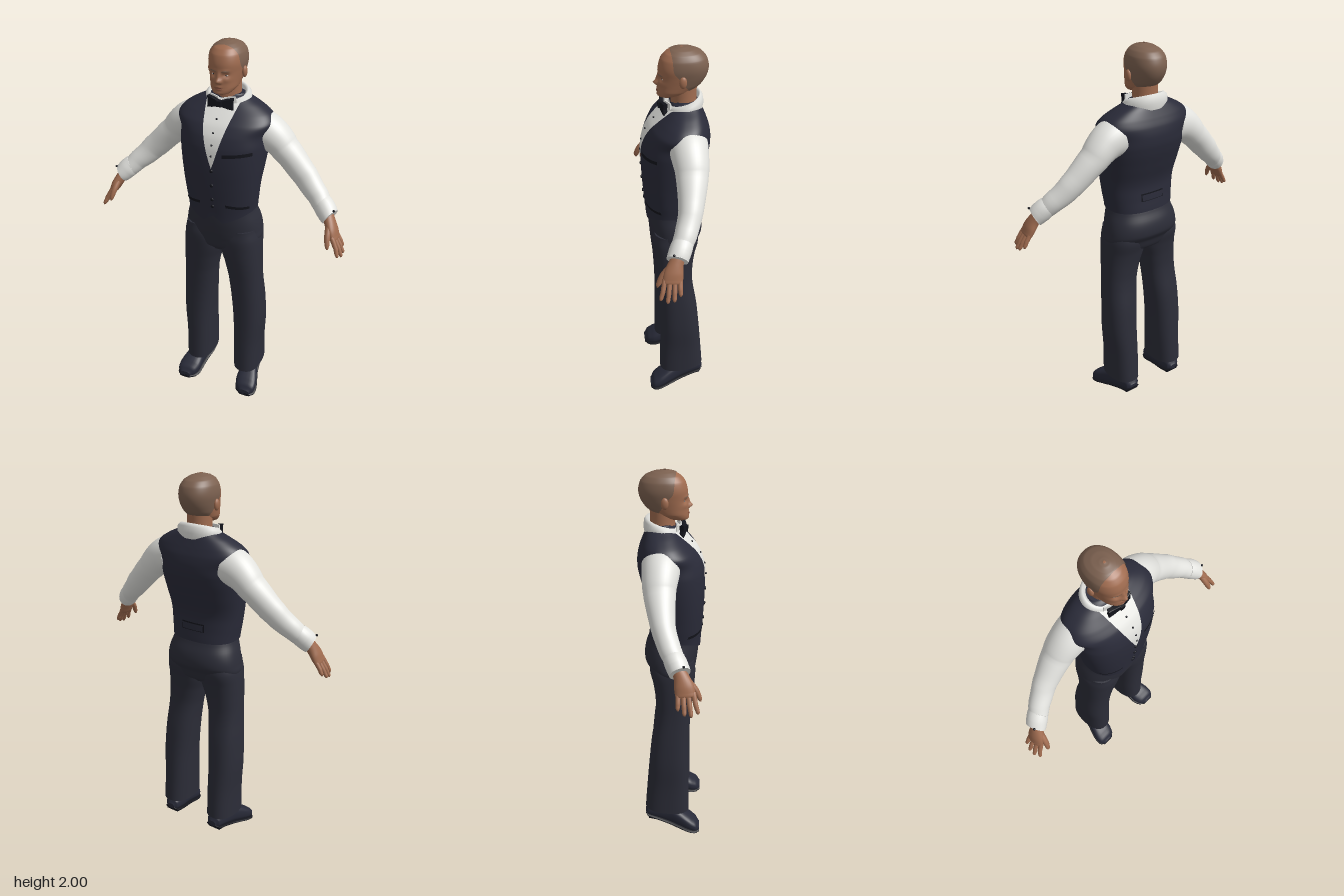
import * as THREE from 'three';

const paint = (name, color, side = THREE.FrontSide) => {
  const m = new THREE.MeshStandardMaterial({ color, side });
  m.name = name;
  return m;
};
const lerp = THREE.MathUtils.lerp;
const clamp = THREE.MathUtils.clamp;

// Interpolate a table of cross-sections; column 0 is the rising key.
function blend(rows, i, t) {
  const r = j => rows[clamp(j, 0, rows.length - 1)];
  return rows[i].map((p, c) => {
    const q = r(i + 1)[c];
    if (c === 0) return lerp(p, q, t);
    const m0 = (q - r(i - 1)[c]) / 2, m1 = (r(i + 2)[c] - p) / 2, t2 = t * t, t3 = t2 * t;
    return (2 * t3 - 3 * t2 + 1) * p + (t3 - 2 * t2 + t) * m0 + (3 * t2 - 2 * t3) * q + (t3 - t2) * m1;
  });
}
function at(rows, key) {
  let i = 0;
  while (i < rows.length - 2 && rows[i + 1][0] < key) i++;
  return blend(rows, i, clamp((key - rows[i][0]) / (rows[i + 1][0] - rows[i][0]), 0, 1));
}
function dense(rows, k = 6) {
  const out = [];
  for (let i = 0; i < rows.length - 1; i++) for (let j = 0; j < k; j++) out.push(blend(rows, i, j / k));
  return [...out, rows[rows.length - 1]];
}

// Skin a list of rings (arrays of Vector3), closed around and optionally capped.
function skin(rings, { closed = true, caps = true } = {}) {
  const pos = [], idx = [], n = rings[0].length;
  const add = p => pos.push(p.x, p.y, p.z) / 3 - 1;
  rings.forEach(r => r.forEach(add));
  for (let i = 0; i < rings.length - 1; i++)
    for (let j = 0; j < (closed ? n : n - 1); j++) {
      const a = i * n + j, b = i * n + (j + 1) % n;
      idx.push(a, a + n, b, b, a + n, b + n);
    }
  if (caps) [rings[0], rings[rings.length - 1]].forEach((r, end) => {
    const mid = r.reduce((s, p) => s.add(p), new THREE.Vector3()).divideScalar(n);
    const c = add(mid), f = c + 1;
    r.forEach(add);
    for (let j = 0; j < n; j++) {
      const k = (j + 1) % n;
      idx.push(c, f + (end ? k : j), f + (end ? j : k));
    }
  });
  const g = new THREE.BufferGeometry();
  g.setAttribute('position', new THREE.Float32BufferAttribute(pos, 3));
  g.setIndex(idx);
  g.computeVertexNormals();
  return g;
}
const power = (v, e) => Math.sign(v) * Math.abs(v) ** e;
const ring = (seg, fn, n = 2) => Array.from({ length: seg }, (_, j) => {
  const t = j / seg * Math.PI * 2;
  return fn(power(Math.cos(t), 2 / n), power(Math.sin(t), 2 / n));
});

// Upright body: rows are [y, halfWidth, zFront, zBack, centreX].
function upright(rows, n, rule = p => p, seg = 56) {
  return skin(dense(rows).map(([y, rx, zf, zb, cx = 0]) => ring(seg, (c, s) =>
    rule(new THREE.Vector3(cx + rx * c, y, (zf + zb) / 2 + (zf - zb) / 2 * s), s), n)));
}
// Depth of such a body at (x, y), on its front (1) or back (-1).
const depth = (rows, n, side = 1) => (x, y) => {
  const [, rx, zf, zb] = at(rows, y);
  return (zf + zb) / 2 + side * (zf - zb) / 2 * Math.max(0, 1 - Math.abs(x / rx) ** n) ** (1 / n);
};
// Limb: rows are [x, y, z, radius, radiusTowardsFront], s mirrors it.
function limb(rows, s, k = 6, seg = 24) {
  const d = dense(rows, k), p = d.map(r => new THREE.Vector3(r[0] * s, r[1], r[2]));
  return skin(d.map((r, i) => {
    const T = p[Math.min(i + 1, p.length - 1)].clone().sub(p[Math.max(i - 1, 0)]).normalize();
    const v = new THREE.Vector3(0, 0, 1).addScaledVector(T, -T.z).normalize();
    const u = T.clone().cross(v);
    return ring(seg, (c, q) => p[i].clone().addScaledVector(u, c * r[3]).addScaledVector(v, q * r[4]));
  }));
}
// Thin patch laid on a surface; edge(v) gives [x0, x1], level(u, v) gives y.
function patch(z, edge, level, off = 0.005, nu = 14, nv = 10) {
  const rows = [];
  for (let j = 0; j <= nv; j++) rows.push(Array.from({ length: nu + 1 }, (_, i) => {
    const [a, b] = edge(j / nv), x = lerp(b, a, i / nu), y = level(i / nu, j / nv);
    return new THREE.Vector3(x, y, z(x, y) + off);
  }));
  return skin(rows, { closed: false, caps: false });
}

const VEST = [[1.17, .18, .153, -.114], [1.24, .189, .16, -.107], [1.32, .199, .165, -.106], [1.42, .213, .168, -.135],
  [1.52, .224, .163, -.163], [1.58, .226, .147, -.168], [1.63, .248, .118, -.16], [1.67, .225, .08, -.145],
  [1.705, .17, .045, -.13], [1.74, .1, .015, -.115], [1.75, .08, 0, -.1]];
const HEAD = [[1.765, .022, .066, .02], [1.772, .042, .078, -.01], [1.785, .056, .082, -.055], [1.8, .066, .081, -.085],
  [1.83, .073, .08, -.122], [1.87, .081, .077, -.147], [1.91, .086, .077, -.155], [1.95, .08, .066, -.145],
  [1.975, .064, .045, -.122], [1.99, .042, .018, -.088], [1.998, .018, -.012, -.05], [2, .003, -.028, -.034]];
const PELVIS = [[.915, .1, .09, -.05], [.95, .18, .12, -.095], [1, .208, .13, -.115], [1.04, .206, .136, -.138],
  [1.1, .195, .142, -.134], [1.17, .174, .145, -.108], [1.2, .172, .145, -.1]];
// y, outer x, inner x, front z, back z
const LEG = [[.13, .226, .072, .104, -.14], [.3, .226, .068, .1, -.128], [.45, .234, .065, .098, -.115], [.6, .23, .055, .1, -.1],
  [.75, .22, .04, .108, -.078], [.85, .216, .018, .118, -.08], [.93, .213, -.005, .125, -.092], [1, .208, 0, .128, -.108], [1.06, .195, .03, .12, -.1]]
  .map(([y, o, i, f, b]) => [y, (o - i) / 2, f, b, (o + i) / 2]);
const SLEEVE = [[.17, 1.585, -.04, .1, .095], [.235, 1.56, -.042, .087, .088], [.3, 1.5, -.042, .071, .077],
  [.42, 1.385, -.02, .063, .058], [.5, 1.31, .015, .053, .052], [.555, 1.258, .05, .045, .045]];
// z, centre x, half width, bottom, top
const SHOE = [[-.14, .145, .022, .085, .115], [-.125, .146, .04, .074, .14], [-.06, .15, .046, .057, .15], [0, .16, .047, .04, .15],
  [.06, .172, .055, .025, .122], [.11, .18, .061, .013, .092], [.145, .187, .052, .007, .066], [.165, .19, .03, .006, .04]];

// Face relief: x, y, width, height, amount
const RELIEF = [[0, 1.836, .011, .011, .02], [0, 1.858, .009, .018, .01], [.011, 1.832, .007, .007, .008], [.031, 1.862, .014, .009, -.009],
  [.03, 1.881, .02, .007, .004], [.042, 1.84, .016, .012, .004], [0, 1.807, .018, .005, .005], [0, 1.796, .016, .005, .005], [0, 1.775, .02, .009, .004]];
const relief = (x, y) => RELIEF.reduce((sum, [a, b, w, h, k]) =>
  sum + k * Math.exp(-(((Math.abs(x) - a) / w) ** 2) - ((y - b) / h) ** 2), 0);

export function createModel() {
  const model = new THREE.Group();
  model.name = 'waiter';
  const vest = paint('vest navy', 0x2a2b39, THREE.DoubleSide), trouser = paint('trouser navy', 0x2c2d38);
  const shoe = paint('shoe navy', 0x282a38), black = paint('black trim', 0x14151c);
  const white = paint('shirt white', 0xe2e2de, THREE.DoubleSide), skinTone = paint('skin', 0xa06c50);
  const hair = paint('cropped hair', 0x7c6150, THREE.DoubleSide), lip = paint('lips', 0x83503f), eye = paint('eye white', 0xc9bdb2);
  const add = (name, geometry, material, x = 0, y = 0, z = 0) => {
    const m = new THREE.Mesh(geometry, material);
    m.name = name;
    m.position.set(x, y, z);
    model.add(m);
    return m;
  };
  const ball = (name, mat, r, x, y, z, sx = 1, sy = 1, sz = 1) =>
    add(name, new THREE.SphereGeometry(r, 16, 12), mat, x, y, z).scale.set(sx, sy, sz);

  // Vest with two points at the front hem
  add('vest', upright(VEST, 2.4, (p, s) => {
    const x = Math.abs(p.x), point = x < .055 ? .3 + .7 * x / .055 : Math.max(0, 1 - (x - .055) / .12);
    p.y -= .055 * point * clamp(s * 1.5, 0, 1) * clamp((1.24 - p.y) / .07, 0, 1);
    return p;
  }, 80), vest);
  const chest = depth(VEST, 2.4), back = depth(VEST, 2.4, -1);

  // Shirt front, studs, vest buttons and pockets
  add('shirtFront', patch(chest, v => [-.09 * v ** .9, .09 * v ** .9], (u, v) => lerp(1.425, 1.735, v), .005, 16, 24), white);
  [1.655, 1.6, 1.545, 1.49].forEach(y => ball('shirtStud', black, .005, 0, y, chest(0, y) + .006));
  [1.41, 1.33, 1.25, 1.21].forEach(y => ball('vestButton', black, .009, 0, y, chest(0, y) + .002, 1, 1, .6));
  const welt = (name, a, b, ya, yb, h) =>
    add(name, patch(chest, () => [a, b], (u, v) => lerp(yb, ya, u) + h * (v - .5)), black);
  welt('breastPocket', .055, .19, 1.495, 1.51, .017);
  welt('leftPocket', .07, .172, 1.222, 1.208, .016);
  welt('rightPocket', -.172, -.07, 1.208, 1.222, .016);
  add('backStrapEdge', patch(back, () => [.068, -.068], (u, v) => 1.25 + .042 * (v - .5), -.004), black);
  add('backStrap', patch(back, () => [.063, -.063], (u, v) => 1.25 + .032 * (v - .5), -.008), vest);

  // Tilted wing collar and bow tie
  const collar = [[1.69, .105, .09], [1.72, .118, .095], [1.75, .115, .09], [1.765, .098, .08], [1.755, .085, .072], [1.71, .075, .066]];
  add('collar', skin(collar.map(([y, rx, rz]) => ring(40, (c, s) =>
    new THREE.Vector3(rx * c, y - .025 * s - .008, -.042 + rz * s))), { caps: false }), white);
  [-1, 1].forEach(s => {
    const wing = new THREE.Shape([[0, .01], [.04 * s, .022], [.064 * s, .026], [.06 * s, 0], [.064 * s, -.026], [.04 * s, -.022], [0, -.01]]
      .map(p => new THREE.Vector2(...p)));
    add('bowTieWing', new THREE.ExtrudeGeometry(wing, { depth: .014, bevelSize: .003, bevelThickness: .004, bevelSegments: 2 }),
      black, 0, 1.722, .058).rotation.y = s * .2;
    const tip = new THREE.Shape([[.012, -.02], [.075, -.01], [.07, .025], [.015, .02]].map(([x, y]) => new THREE.Vector2(x * s, y)));
    add('collarWing', new THREE.ExtrudeGeometry(tip, { depth: .006, bevelEnabled: false }), white, 0, 1.728, .049).rotation.y = s * .35;
  });
  add('bowTieKnot', new THREE.BoxGeometry(.024, .028, .026), black, 0, 1.722, .068);

  // Neck and head
  add('neck', upright([[1.67, .07, .025, -.115], [1.75, .063, .018, -.105], [1.84, .062, .02, -.105]], 2), skinTone);
  add('head', upright(HEAD, 2.2, (p, s) => {
    if (s > 0) p.z += relief(p.x, p.y);
    return p;
  }, 120), skinTone);
  const bare = depth(HEAD, 2.2), face = (x, y) => bare(x, y) + relief(x, y);

  // Hair shell, cut off along the hairline
  const hairline = [[1.795, -.062], [1.83, -.045], [1.87, -.018], [1.905, .01], [1.96, .016], [2.01, .022]];
  add('hair', skin(dense(HEAD.slice(3)).map(([y, rx, zf, zb]) => {
    const cz = (zf + zb) / 2, rz = (zf - zb) / 2;
    const t0 = Math.asin(power(clamp((at(hairline, y)[1] - cz) / rz, -1, 1), 1.1));
    return Array.from({ length: 49 }, (_, j) => {
      const t = lerp(Math.PI - t0, Math.PI * 2 + t0, j / 48);
      return new THREE.Vector3((rx + .003) * power(Math.cos(t), 1 / 1.1), y + .002 * clamp((y - 1.9) * 10, 0, 1), cz + (rz + .003) * power(Math.sin(t), 1 / 1.1));
    });
  }), { closed: false, caps: false }), hair);

  // Facial details
  add('mouth', patch(face, v => [-.023, .023], (u, v) => 1.801 + (v - .5) * .011 * Math.sin(Math.PI * u), .0015), lip);
  [-1, 1].forEach(s => {
    const x = .032 * s;
    ball('eye', eye, .009, x, 1.861, face(x, 1.861) - .001, 1.1, .5, .35);
    ball('iris', black, .004, x, 1.861, face(x, 1.861) + .001, 1, 1, .5);
    add('eyebrow', patch(face, () => [x - .017, x + .017], (u, v) => 1.879 + .004 * Math.sin(Math.PI * u) + .005 * (v - .5), .0015), hair);
    ball('ear', skinTone, .028, .088 * s, 1.862, -.028, .42, 1, .65);
  });

  // Trousers
  add('trouserSeat', upright(PELVIS, 2.3), trouser);
  [-1, 1].forEach(s => {
    add('trouserLeg', upright(LEG.map(([y, rx, f, b, cx]) => [y, rx, f, b, cx * s]), 2.4, p => {
      if (p.y < .2) p.y -= (p.z + .02) * .08 * (.2 - p.y) / .07;
      return p;
    }), trouser);

    // Shoes sloping down to the toe
    const shoeRings = (grow, low, high) => dense(SHOE, 4).map(([z, cx, w, b, t]) => ring(28, (c, q) =>
      new THREE.Vector3(cx * s + (w + grow) * c, (low(b) + high(b, t)) / 2 - (high(b, t) - low(b)) / 2 * q, z), 2.7));
    add('shoe', skin(shoeRings(0, b => b, (b, t) => t)), shoe);
    add('sole', skin(shoeRings(.004, b => b - .006, b => b + .012)), black);
    const heel = add('heel', new THREE.BoxGeometry(.074, .018, .07), black, .147 * s, .062, -.087);
    heel.rotation.x = .22;

    // Sleeves and cuffs
    add('sleeve', limb(SLEEVE, s, 6, 36), white);
    add('cuff', limb([[.527, 1.284, .033, .05, .05], [.55, 1.263, .046, .052, .052], [.58, 1.235, .063, .047, .05]], s), white);
    ball('cuffLink', black, .006, .6 * s, 1.28, .08);

    // Hands with four fingers and a thumb
    add('palm', limb([[.56, 1.25, .052, .026, .03], [.582, 1.215, .07, .027, .036], [.602, 1.18, .082, .025, .045],
      [.62, 1.145, .089, .019, .045], [.625, 1.135, .09, .01, .038]], s), skinTone);
    [[.655, 1.085, .058], [.667, 1.066, .088], [.667, 1.06, .118], [.655, 1.07, .148]].forEach(([x, y, z], i) => {
      const z0 = .055 + .023 * i;
      add('finger', limb([[.61, 1.158, z0, .012, .012], [(.616 + x) / 2 + .004, (1.15 + y) / 2, (z0 + z) / 2, .011, .011],
        [x - .004, y + .01, z - .002, .009, .009], [x, y, z, .003, .003]], s, 4, 12), skinTone);
    });
    add('thumb', limb([[.585, 1.205, .095, .017, .017], [.592, 1.165, .132, .015, .014], [.6, 1.125, .152, .011, .011],
      [.604, 1.108, .157, .004, .004]], s, 4, 12), skinTone);
  });
  return model;
}
